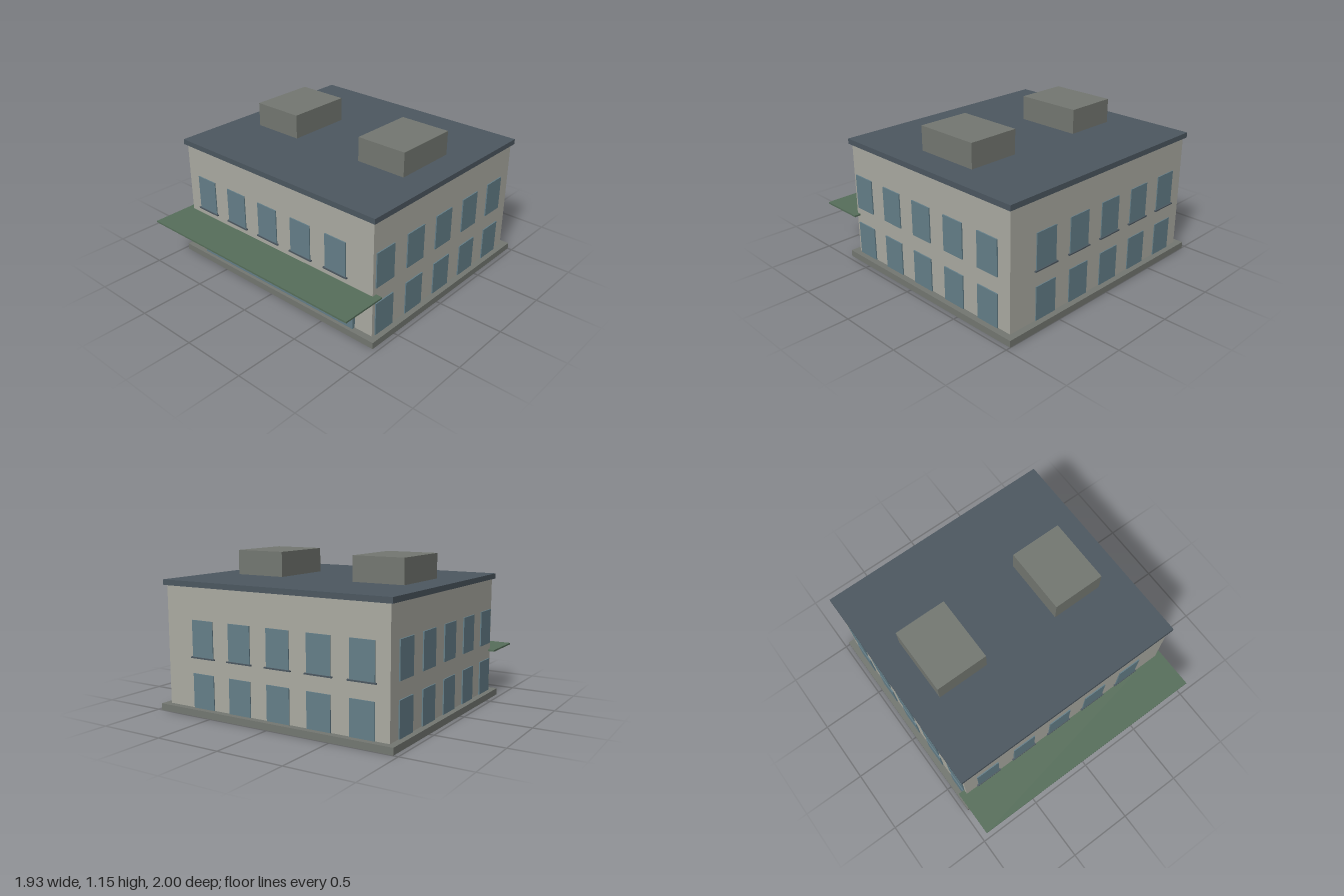
import * as THREE from 'three';

export function createModel() {
  const model = new THREE.Group();
  model.name = 'building';

  const material = (name, color) => {
    const m = new THREE.MeshStandardMaterial({ color });
    m.name = name;
    return m;
  };
  const wall = material('wall', 0xaaaaa1);
  const stone = material('stone', 0x737771);
  const slate = material('slate', 0x4c5760);
  const glass = material('glass', 0x647e88);
  const green = material('awningGreen', 0x566e5a);

  // Box given by its limits on each axis
  const box = (name, mat, [x0, x1], [y0, y1], [z0, z1]) => {
    const mesh = new THREE.Mesh(new THREE.BoxGeometry(x1 - x0, y1 - y0, z1 - z0), mat);
    mesh.position.set((x0 + x1) / 2, (y0 + y1) / 2, (z0 + z1) / 2);
    mesh.name = name;
    model.add(mesh);
  };

  // Main masses
  box('plinth', stone, [-0.965, 0.965], [0, 0.05], [-1, 0.73]);
  box('walls', wall, [-0.915, 0.915], [0.05, 0.925], [-0.95, 0.68]);
  box('roofSlab', slate, [-0.935, 0.935], [0.925, 0.965], [-0.97, 0.7]);

  // Rooftop units
  box('rightRoofUnit', stone, [-0.71, -0.305], [0.965, 1.15], [-0.39, 0.12]);
  box('leftRoofUnit', stone, [0.305, 0.71], [0.965, 1.15], [-0.39, 0.12]);

  // Shopfront, awning and entrance canopy
  box('shopfront', glass, [-0.765, 0.765], [0.05, 0.315], [0.68, 0.705]);
  box('awning', green, [-0.965, 0.965], [0.359, 0.372], [0.645, 1]);
  box('entranceCanopy', slate, [-0.25, 0.25], [0.308, 0.319], [0.68, 0.9]);

  // Two floors of five windows on every side
  const half = 0.093;
  const floors = [[0.05, 0.303], [0.425, 0.69]];
  floors.forEach((y, floor) => {
    for (let i = 0; i < 5; i++) {
      const x = -0.715 + i * 0.326;
      const z = 0.56 - i * 0.327;
      const spanX = [x - half, x + half];
      const spanZ = [z - half, z + half];
      box('frontWindow', glass, spanX, y, [0.68, 0.688]);
      box('backWindow', glass, spanX, y, [-0.957, -0.95]);
      box('leftWindow', glass, [0.915, 0.924], y, spanZ);
      box('rightWindow', glass, [-0.924, -0.915], y, spanZ);

      // Sills under the upper front and back windows
      if (floor === 1) {
        const sillX = [x - 0.107, x + 0.107];
        box('frontSill', slate, sillX, [0.415, 0.425], [0.68, 0.694]);
        box('backSill', slate, sillX, [0.415, 0.425], [-0.964, -0.95]);
      }
    }
  });

  return model;
}
